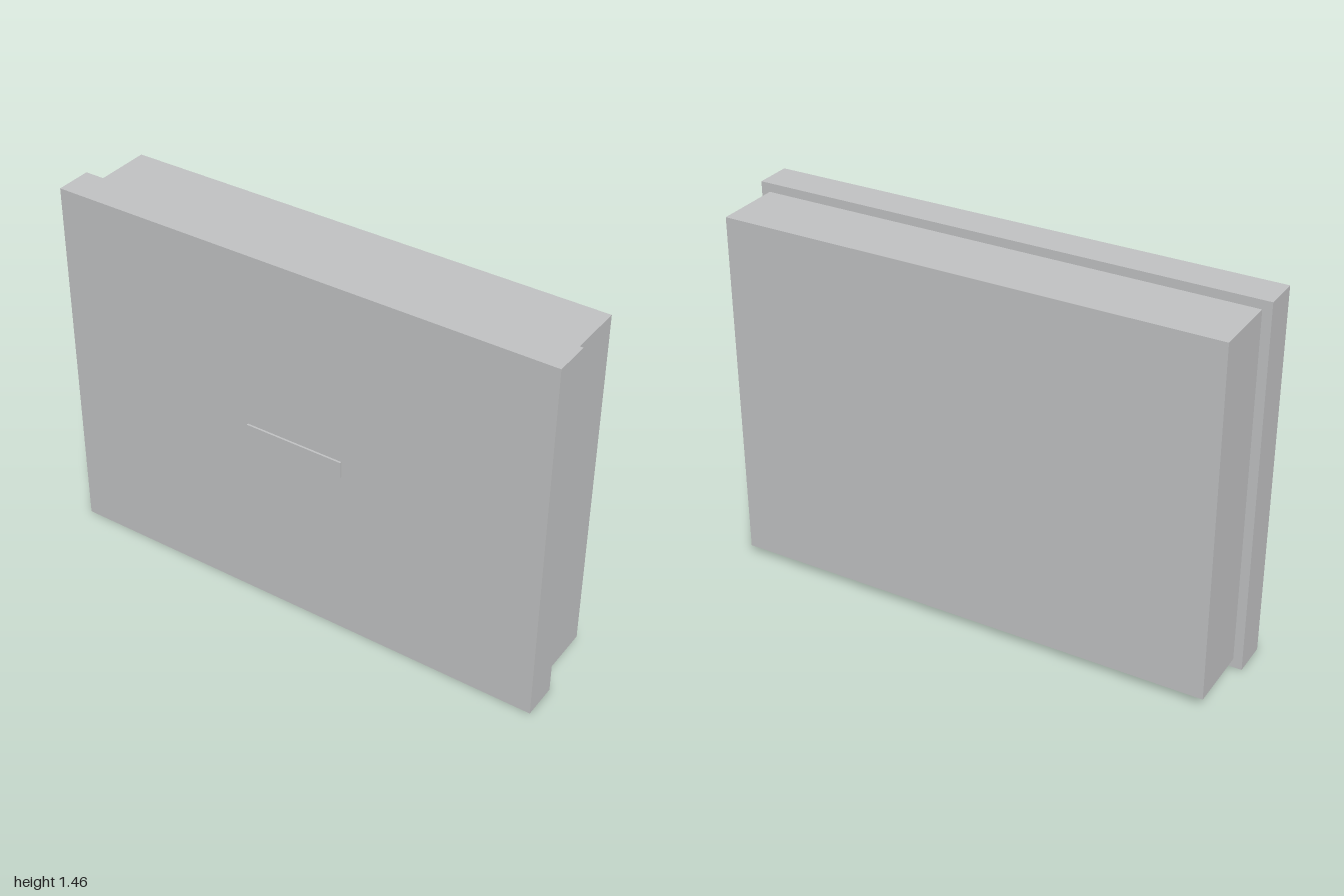
import * as THREE from 'three';

export function createModel() {
  const model = new THREE.Group();
  model.name = 'wallBox';
  const grey = new THREE.MeshStandardMaterial({ color: 0xc0c1c2 });
  grey.name = 'light grey';

  // Box centred on x, given its width, y range and z range
  const addBox = (name, width, y0, y1, z0, z1) => {
    const mesh = new THREE.Mesh(new THREE.BoxGeometry(width, y1 - y0, z1 - z0), grey);
    mesh.position.set(0, (y0 + y1) / 2, (z0 + z1) / 2);
    mesh.name = name;
    model.add(mesh);
  };

  addBox('frontPanel', 2, 0, 1.464, 0.057, 0.2);
  addBox('rearHousing', 1.93, 0.035, 1.43, -0.208, 0.057);
  // Thin raised plate in the middle of the front
  addBox('frontPlate', 0.4, 0.7, 0.765, 0.2, 0.208);

  return model;
}
